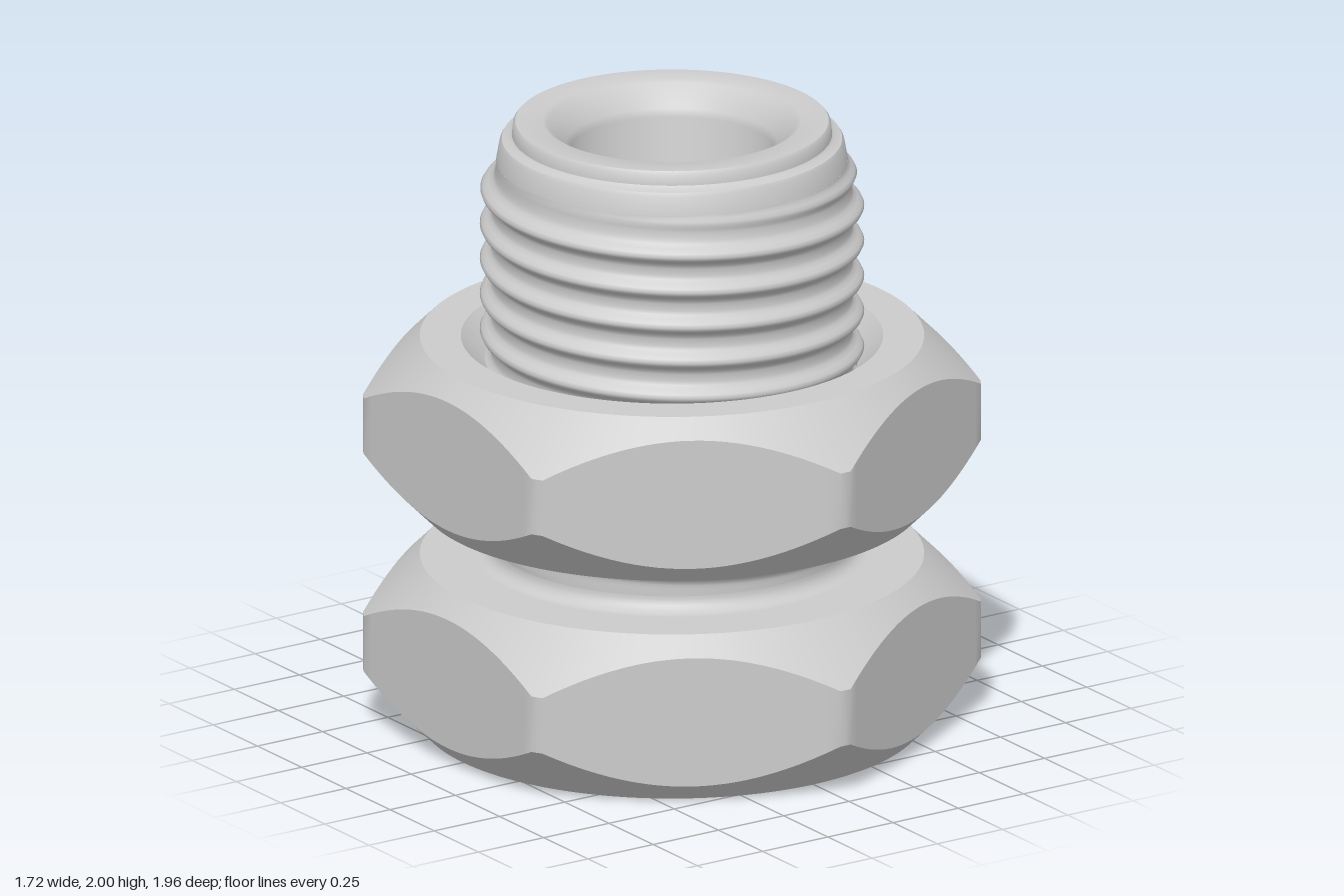
import * as THREE from 'three';
import { toCreasedNormals } from 'three/addons/utils/BufferGeometryUtils.js';

const material = new THREE.MeshStandardMaterial({ color: 0xcccccc });

function addMesh(group, name, geometry, crease = 0.6) {
  const mesh = new THREE.Mesh(toCreasedNormals(geometry, crease), material);
  mesh.name = name;
  group.add(mesh);
}

// Skins a ring of columns: column(angle) returns [radius, y] pairs from bottom to top.
function skin(angles, column) {
  const pos = [], index = [];
  let rows = 0;
  for (const a of angles) {
    const points = column(a);
    rows = points.length;
    for (const [r, y] of points) pos.push(r * Math.sin(a), y, r * Math.cos(a));
  }
  for (let i = 0; i < angles.length - 1; i++) {
    for (let j = 0; j < rows - 1; j++) {
      const a = i * rows + j, b = a + rows;
      index.push(a, b, b + 1, a, b + 1, a + 1);
    }
  }
  const g = new THREE.BufferGeometry();
  g.setAttribute('position', new THREE.Float32BufferAttribute(pos, 3));
  g.setIndex(index);
  return g;
}

const lathe = (points) =>
  new THREE.LatheGeometry(points.map(([r, y]) => new THREE.Vector2(r, y)), 96);

// Hexagon with 45 degree conical chamfers above and below, corners on +z and -z.
const FLAT = 0.86, CORNER = 0.982, FACE = 0.8;

function hexGeometry(y0, y1, startProfile, endProfile) {
  const half = Math.acos(FLAT / CORNER), steps = 24, angles = [], radii = [];
  for (let side = 0; side < 6; side++) {
    const mid = (side + 0.5) * Math.PI / 3;
    angles.push(mid - Math.PI / 6);
    radii.push(CORNER);
    for (let k = 0; k <= steps; k++) {
      const a = -half + 2 * half * k / steps;
      angles.push(mid + a);
      radii.push(FLAT / Math.cos(a));
    }
  }
  angles.push(Math.PI * 2);
  radii.push(CORNER);
  let i = 0;
  return skin(angles, () => {
    const r = radii[i++], drop = r - FACE;
    return [...startProfile, [FACE, y0], [r, y0 + drop],
      [r, y1 - drop], [FACE, y1], ...endProfile];
  });
}

// Helical thread whose rows follow the helix, fading out at both ends.
function threadGeometry(yLow, yHigh) {
  const pitch = 0.118, crestY = 1.735;
  const shape = [1, 0.85, 0.45, 0.1, 0, 0, 0, 0.1, 0.45, 0.85];
  const n = shape.length, first = -11 * n, last = 3 * n;
  const angles = Array.from({ length: 121 }, (_, i) => -Math.PI + i * Math.PI / 60);
  return skin(angles, (a) => {
    const points = [];
    for (let j = first; j <= last; j++) {
      const raw = crestY + pitch * (j / n - a / (2 * Math.PI));
      const y = THREE.MathUtils.clamp(raw, yLow, yHigh);
      const fade = THREE.MathUtils.smoothstep(y, yLow, yLow + 0.07) *
        (1 - THREE.MathUtils.smoothstep(y, yHigh - 0.07, yHigh));
      const root = 0.573 - 0.015 * THREE.MathUtils.smoothstep(y, yHigh - 0.12, yHigh);
      points.push([root + 0.037 * fade * shape[((j % n) + n) % n], y]);
    }
    return points;
  });
}

export function createModel() {
  const group = new THREE.Group();

  // Bolt head, closed underneath
  addMesh(group, 'boltHead', hexGeometry(0, 0.55, [[0, 0]], [[0.55, 0.55]]));

  // Fillet between the head and the shank
  const fillet = [];
  for (let k = 0; k <= 8; k++) {
    const t = k / 8 * Math.PI / 2;
    fillet.push([0.623 - 0.05 * Math.sin(t), 0.6 - 0.05 * Math.cos(t)]);
  }
  addMesh(group, 'shankFillet', lathe(fillet));

  // Threaded shank
  addMesh(group, 'thread', threadGeometry(0.6, 1.87), 1.1);

  // Plain tip with a step, chamfered mouth and blind bore
  addMesh(group, 'tipAndBore', lathe([
    [0.558, 1.87], [0.547, 1.93], [0.54, 1.942], [0.515, 1.948], [0.508, 1.955],
    [0.505, 1.99], [0.497, 2], [0.41, 2], [0.395, 1.992], [0.335, 1.925],
    [0.325, 1.9], [0.325, 0.33], [0.316, 0.31], [0.295, 0.3], [0, 0.3],
  ]));

  // Loose nut with a countersink on each side of its hole
  const y0 = 0.73, y1 = 1.28, hole = 0.59, sink = 0.67;
  addMesh(group, 'nut', hexGeometry(y0, y1,
    [[hole, y0 + 0.08], [sink, y0]],
    [[sink, y1], [hole, y1 - 0.08], [hole, y0 + 0.08]]));

  return group;
}
